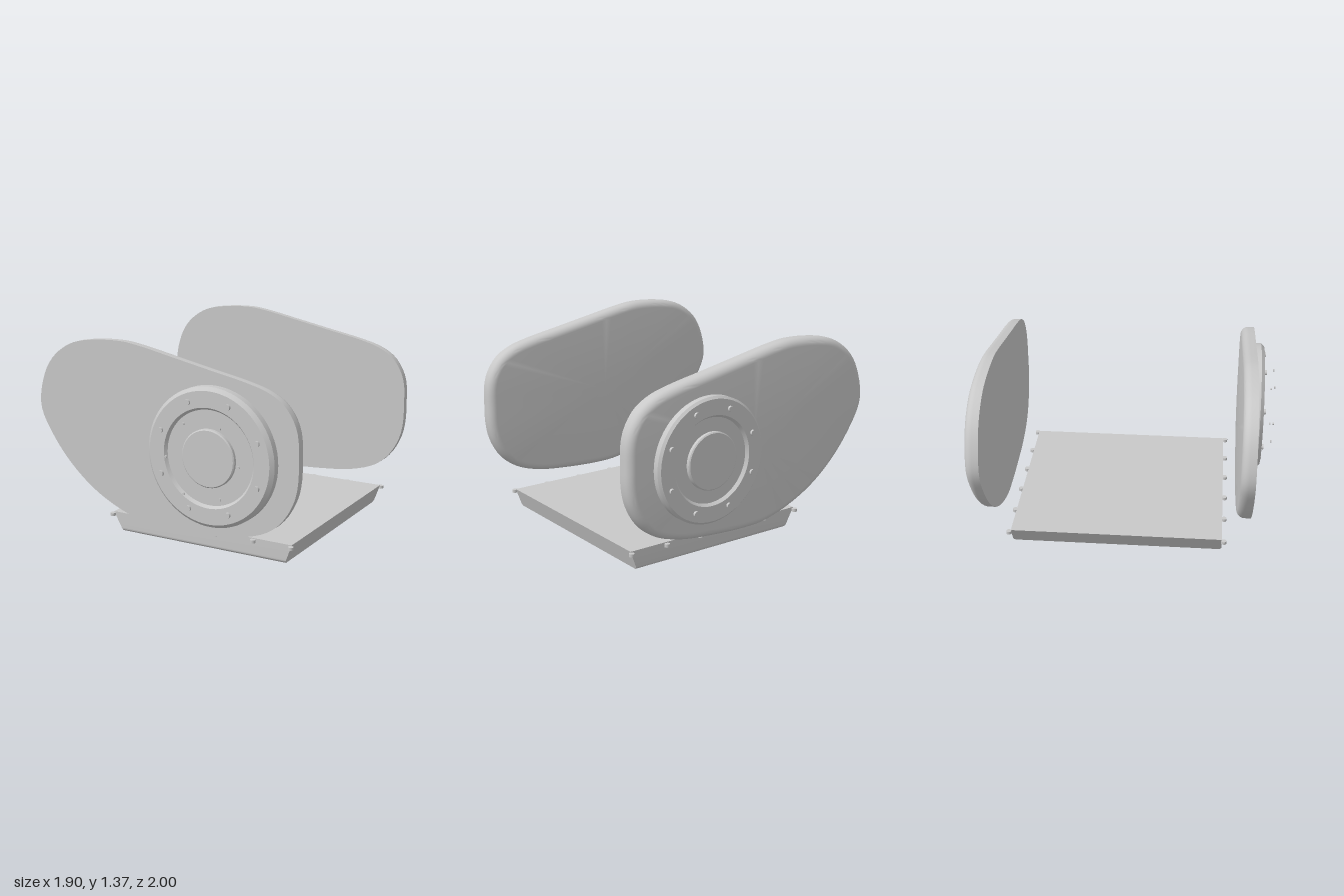
import * as THREE from 'three';
import { toCreasedNormals } from 'three/addons/utils/BufferGeometryUtils.js';

const grey = new THREE.MeshStandardMaterial({ color: 0xc8c8c8 });
grey.name = 'light grey';

function add(parent, name, geometry, x = 0, y = 0, z = 0) {
  const mesh = new THREE.Mesh(geometry, grey);
  mesh.name = name;
  mesh.position.set(x, y, z);
  parent.add(mesh);
  return mesh;
}

// Side cover outline, counter-clockwise from the right edge
const outline = [
  [0.944, 0.63], [0.946, 0.77], [0.944, 0.87], [0.935, 0.93], [0.909, 1.0], [0.843, 1.09], [0.741, 1.152],
  [0.604, 1.193], [0.35, 1.245], [0.09, 1.298], [-0.17, 1.35], [-0.3, 1.366],
  [-0.528, 1.355], [-0.68, 1.322], [-0.807, 1.244], [-0.883, 1.152],
  [-0.934, 1.02], [-0.949, 0.91], [-0.934, 0.833], [-0.858, 0.695], [-0.73, 0.533],
  [-0.553, 0.38], [-0.35, 0.27], [-0.12, 0.198], [0.03, 0.187], [0.31, 0.198],
  [0.563, 0.228], [0.741, 0.289], [0.843, 0.375], [0.919, 0.51],
];

// Flat on the +z side, rounded over on the -z side
function coverGeometry(depth, fillet) {
  const curve = new THREE.CatmullRomCurve3(outline.map(([x, y]) => new THREE.Vector3(x, y, 0)), true);
  const n = 120, steps = 8;
  const rings = [[depth, 0]];
  for (let k = 0; k <= steps; k++) {
    const a = (k / steps) * Math.PI / 2;
    rings.push([fillet * (1 - Math.sin(a)), fillet * (1 - Math.cos(a))]);
  }
  const pos = [], index = [];
  for (const [z, inset] of rings) {
    for (let i = 0; i < n; i++) {
      const p = curve.getPointAt(i / n), t = curve.getTangentAt(i / n);
      pos.push(p.x - t.y * inset, p.y + t.x * inset, z);
    }
  }
  const front = pos.length / 3, back = front + 1, last = (rings.length - 1) * n;
  pos.push(0, 0.75, depth, 0, 0.75, 0);
  for (let i = 0; i < n; i++) {
    const j = (i + 1) % n;
    for (let r = 0; r < rings.length - 1; r++) {
      const a = r * n, b = a + n;
      index.push(a + i, b + i, b + j, a + i, b + j, a + j);
    }
    index.push(front, i, j, back, last + j, last + i);
  }
  const g = new THREE.BufferGeometry();
  g.setAttribute('position', new THREE.Float32BufferAttribute(pos, 3));
  g.setIndex(index);
  g.computeVertexNormals();
  return toCreasedNormals(g, 0.5);
}

// Round bearing cap with a recessed ring, raised hub and eight bolts
function bearingCap(name, { radius, height, chamfer, groove, boltCircle }) {
  const cap = new THREE.Group();
  cap.name = name;
  const floor = height - 0.02, hub = height + 0.006;
  const profile = [
    [radius, 0], [radius, height - chamfer], [radius - chamfer, height],
    [groove, height], [groove - 0.015, floor], [0.183, floor],
    [0.183, hub - 0.006], [0.176, hub], [0, hub],
  ].map(([r, y]) => new THREE.Vector2(r, y));
  add(cap, name + 'Body', toCreasedNormals(new THREE.LatheGeometry(profile, 72), 0.4));
  const bolt = new THREE.CylinderGeometry(0.018, 0.018, 0.03, 16);
  for (let i = 0; i < 8; i++) {
    const a = (i + 0.5) * Math.PI / 4;
    add(cap, name + 'Bolt', bolt, boltCircle * Math.cos(a), height, boltCircle * Math.sin(a));
  }
  return cap;
}

// Pan with sloping ends and rounded lower long edges
function panGeometry() {
  const lo = 0.035, hi = 0.165, u0 = -0.67, u1 = 0.757, r = 0.025;
  const s = new THREE.Shape();
  s.moveTo(u1, hi);
  s.lineTo(u0, hi);
  s.lineTo(u0, lo + r);
  s.absarc(u0 + r, lo + r, r, Math.PI, Math.PI * 1.5);
  s.lineTo(u1 - r, lo);
  s.absarc(u1 - r, lo + r, r, Math.PI * 1.5, Math.PI * 2);
  s.closePath();
  const g = new THREE.ExtrudeGeometry(s, { depth: 1, bevelEnabled: false, curveSegments: 8 });
  g.rotateY(Math.PI / 2);
  const p = g.attributes.position;
  for (let i = 0; i < p.count; i++) {
    const k = (p.getY(i) - lo) / (hi - lo);
    const left = THREE.MathUtils.lerp(-0.437, -0.51, k);
    const right = THREE.MathUtils.lerp(0.773, 0.82, k);
    p.setX(i, THREE.MathUtils.lerp(left, right, p.getX(i)));
  }
  return toCreasedNormals(g, 0.5);
}

export function createModel() {
  const model = new THREE.Group();
  model.name = 'housingCovers';
  const cx = 0.371, cy = 0.716;

  // Matching covers, front and back
  const cover = coverGeometry(0.092, 0.05);
  add(model, 'frontCover', cover, 0, 0, 0.756);
  add(model, 'backCover', cover, 0, 0, -0.932);

  // Bearing caps
  const frontCap = bearingCap('frontCap', { radius: 0.441, height: 0.08, chamfer: 0.023, groove: 0.315, boltCircle: 0.363 });
  frontCap.position.set(cx, cy, 0.838);
  frontCap.rotation.x = Math.PI / 2;
  const backCap = bearingCap('backCap', { radius: 0.4, height: 0.065, chamfer: 0.015, groove: 0.285, boltCircle: 0.333 });
  backCap.position.set(cx, cy, -0.92);
  backCap.rotation.x = -Math.PI / 2;
  model.add(frontCap, backCap);

  // Ring of small pins standing off the front cap
  const pin = new THREE.CylinderGeometry(0.008, 0.008, 0.01, 10).rotateX(Math.PI / 2);
  for (let i = 0; i < 6; i++) {
    const a = i * Math.PI / 3;
    add(model, 'pin', pin, cx + 0.252 * Math.cos(a), cy + 0.252 * Math.sin(a), 0.995);
  }

  // Bottom pan, its edge bolts and the drain plug
  add(model, 'pan', panGeometry());
  const panBolt = new THREE.CylinderGeometry(0.018, 0.018, 0.02, 16);
  for (let i = 0; i < 6; i++) {
    for (const z of [0.683, -0.77]) add(model, 'panBolt', panBolt, -0.51 + i * 0.266, 0.149, z);
  }
  const plug = new THREE.CylinderGeometry(0.04, 0.04, 0.04, 6).rotateY(Math.PI / 2);
  add(model, 'drainPlug', toCreasedNormals(plug, 0.3), 0.155, 0.02, -0.038);

  return model;
}
